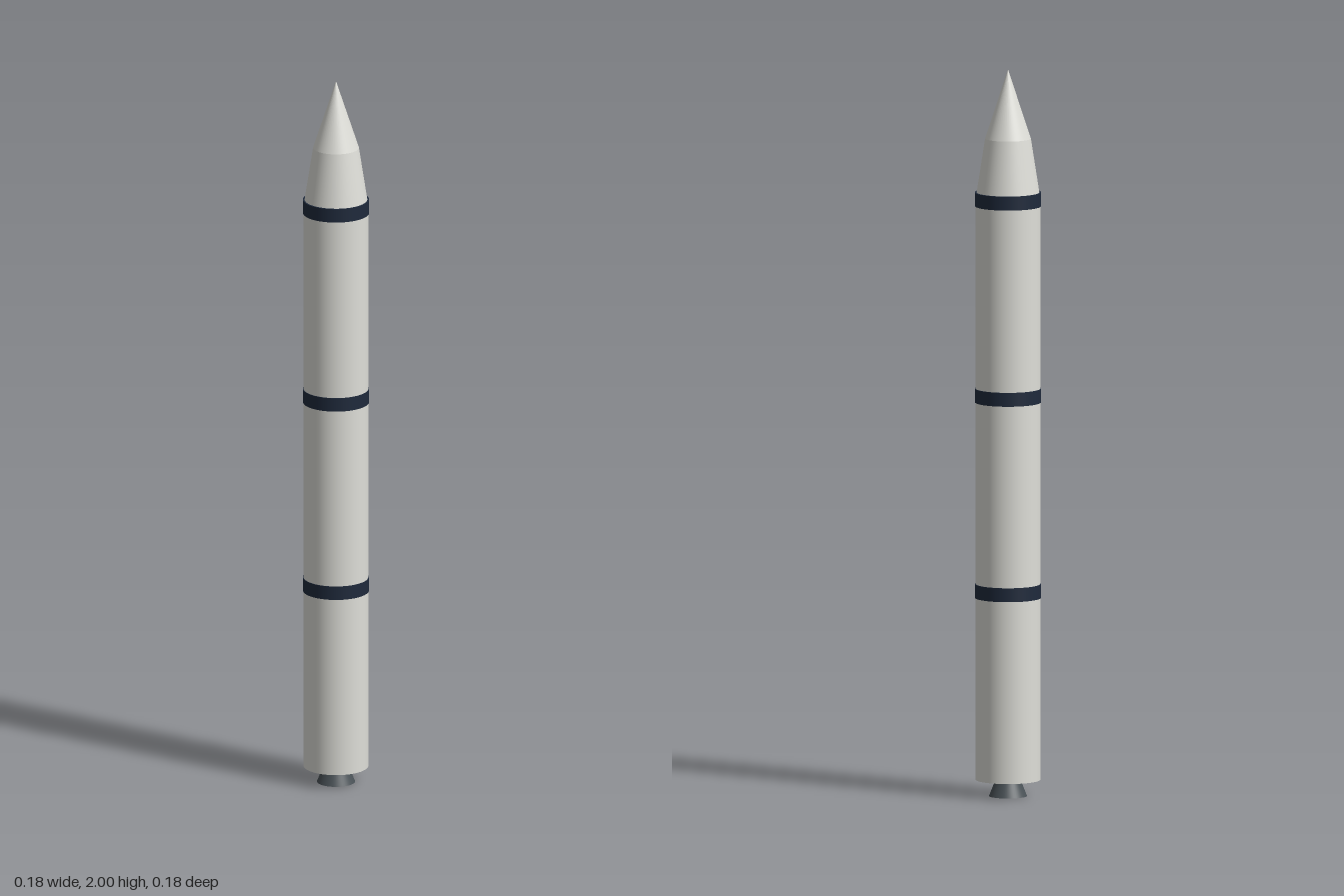
import * as THREE from 'three';

export function createModel() {
  const model = new THREE.Group();
  model.name = 'rocket';

  const material = (name, color) => {
    const m = new THREE.MeshStandardMaterial({ color });
    m.name = name;
    return m;
  };
  const white = material('off-white paint', 0xdfdfd9);
  const navy = material('navy paint', 0x1f2a3c);
  const metal = material('dark metal', 0x4a5257);

  // Upright round section between two heights
  const section = (name, mat, y0, y1, r0, r1, open = false) => {
    const mesh = new THREE.Mesh(new THREE.CylinderGeometry(r1, r0, y1 - y0, 48, 1, open), mat);
    mesh.name = name;
    mesh.position.y = (y0 + y1) / 2;
    model.add(mesh);
  };

  const R = 0.0885;

  // Engine nozzle
  section('nozzle', metal, 0, 0.045, 0.052, 0.034);

  // Three body stages, each topped by a slightly raised band
  const joints = [0.045, 0.565, 1.103, 1.643];
  for (let i = 0; i < 3; i++) {
    section(`stage${i + 1}`, white, joints[i], joints[i + 1], R, R);
    section(`band${i + 1}`, navy, joints[i + 1] - 0.019, joints[i + 1] + 0.019, R + 0.002, R + 0.002);
  }

  // Two-part nose: tapered shoulder and pointed tip
  section('noseShoulder', white, 1.643, 1.81, R, 0.0625, true);
  section('noseTip', white, 1.81, 2, 0.0625, 0, true);

  return model;
}
